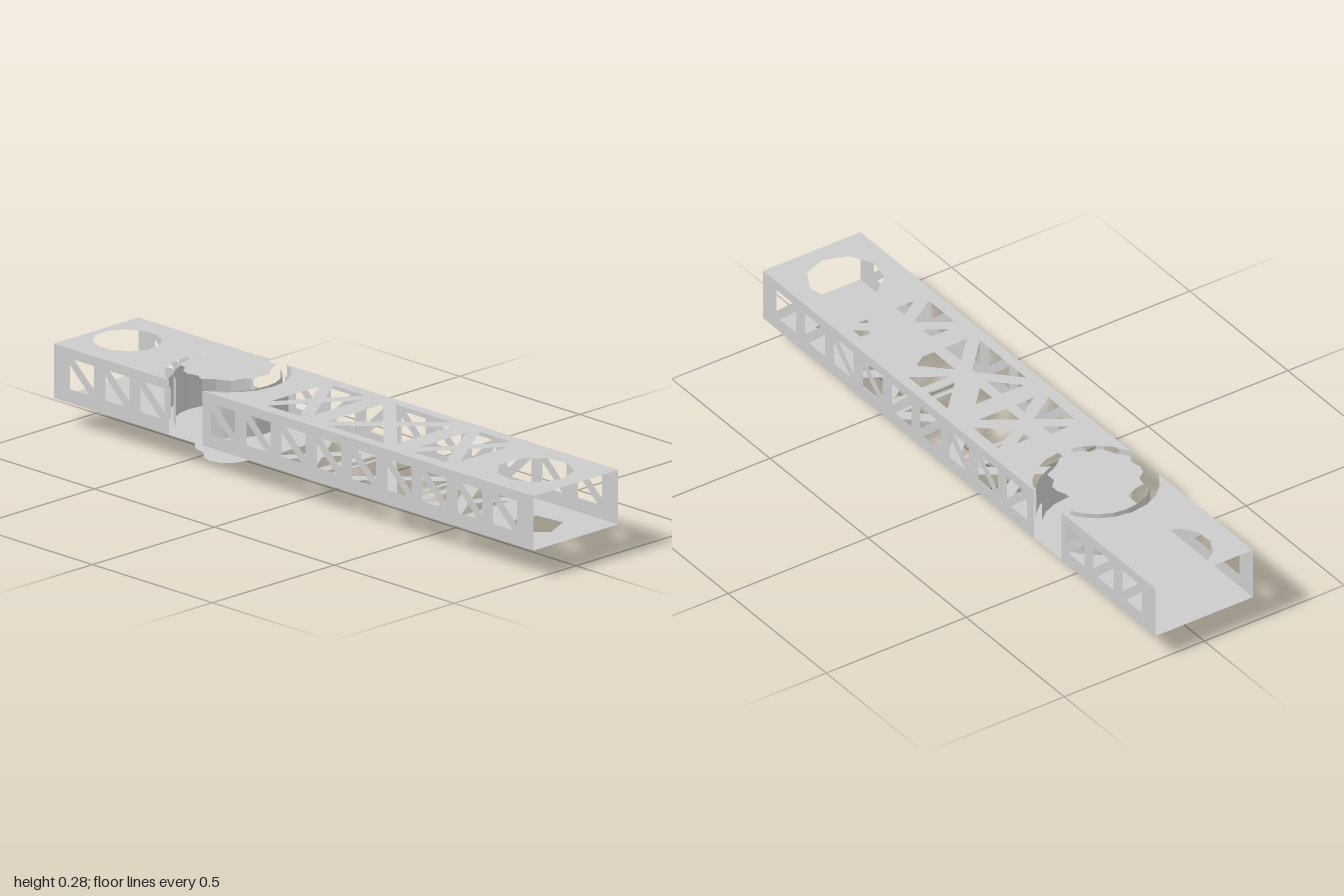
import * as THREE from 'three';

const BOTTOM = 0.087, TOP = 0.255, HALF = 0.174;
const PIVOT = -0.45, GAP = 0.07;

export function createModel() {
  const group = new THREE.Group();
  const material = new THREE.MeshStandardMaterial({
    color: 0xcccccc, side: THREE.DoubleSide, flatShading: true,
  });
  const add = (name, geometry, x = 0, y = 0, z = 0) => {
    const mesh = new THREE.Mesh(geometry, material);
    mesh.name = name;
    mesh.position.set(x, y, z);
    group.add(mesh);
  };
  const points = (list) => list.map(([x, y]) => new THREE.Vector2(x, y));
  const ngon = (cx, r, n, start = 0, sx = 1) => Array.from({ length: n }, (_, i) => {
    const a = start + (i / n) * Math.PI * 2;
    return [cx + r * sx * Math.cos(a), r * Math.sin(a)];
  });
  const sheet = (outline, holes) => {
    const shape = new THREE.Shape(points(outline));
    for (const h of holes) shape.holes.push(new THREE.Path(points(h)));
    return new THREE.ShapeGeometry(shape);
  };
  const flat = (outline, holes = []) => sheet(outline, holes).rotateX(Math.PI / 2);

  // Four triangular openings that leave an X of bars
  const crossHoles = (x0, x1, h) => {
    const c = (x0 + x1) / 2, w = (x1 - x0) / 2, b = 0.014;
    const k = b * (1 + w / h), m = b * (1 + h / w);
    const holes = [];
    for (const s of [-1, 1]) {
      holes.push([[c - w + k, s * h], [c + w - k, s * h], [c, s * m]]);
      holes.push([[c + s * w, m - h], [c + s * w, h - m], [c + s * k, 0]]);
    }
    return holes;
  };
  const truss = [
    ...crossHoles(-0.17, 0.01, 0.135),
    ...crossHoles(0.08, 0.37, 0.14),
    ...crossHoles(0.44, 0.62, 0.135),
  ];
  const slots = [[0.045, 0.068], [0.385, 0.408]].map(([a, b]) =>
    [[a, -0.11], [b, -0.11], [b, 0.11], [a, 0.11]]);

  // Side walls: square cells split by a diagonal bar, broken at the pivot
  const cells = Array.from({ length: 13 }, (_, i) => (i - 6) * 0.147);
  const wallHoles = (x0, x1, back) => {
    const holes = [];
    for (const c of cells) {
      if (c - 0.05 < x0 || c + 0.05 > x1) continue;
      const flip = back && [-0.147, 0, 0.441, 0.588].some((v) => Math.abs(v - c) < 0.01);
      const f = flip ? -1 : 1;
      holes.push([[c - 0.05 * f, 0.13], [c + 0.032 * f, 0.13], [c - 0.05 * f, 0.205]]);
      holes.push([[c + 0.05 * f, 0.225], [c - 0.032 * f, 0.225], [c + 0.05 * f, 0.15]]);
    }
    return holes;
  };
  for (const side of [1, -1]) {
    for (const [x0, x1] of [[-1, PIVOT - GAP], [PIVOT + GAP, 1]]) {
      add(side > 0 ? 'frontWall' : 'backWall',
        sheet([[x0, BOTTOM], [x1, BOTTOM], [x1, TOP], [x0, TOP]], wallHoles(x0, x1, side < 0)),
        0, 0, side * HALF);
    }
  }

  // Floor plate
  add('floor', flat([[-1, -HALF], [1, -HALF], [1, HALF], [-1, HALF]],
    [...truss, ...slots, ngon(0.83, 0.085, 5, 0.2)]), 0, BOTTOM, 0);

  // Top plates, each with a concave arc around the pivot
  const topPlate = (end, s) => {
    const outline = [[end, -HALF], [end, HALF]];
    const r = Math.hypot(GAP, HALF), limit = Math.atan2(HALF, GAP);
    for (let i = 0; i <= 8; i++) {
      const a = limit * (1 - i / 4);
      outline.push([PIVOT + s * r * Math.cos(a), r * Math.sin(a)]);
    }
    return outline;
  };
  add('topLong', flat(topPlate(1, 1), [...truss, ngon(0.83, 0.115, 9)]), 0, TOP, 0);
  add('topShort', flat(topPlate(-1, -1), [ngon(-0.87, 0.1, 12, 0.2, 1.06)]), 0, TOP, 0);

  // Curved pivot walls, open to front and back
  const arcWalls = (name, r, y0, y1) => {
    const start = Math.asin(GAP / r) + 0.01;
    for (const turn of [0, Math.PI]) {
      add(name, new THREE.CylinderGeometry(r, r, y1 - y0, 8, 1, true, start + turn,
        Math.PI - 2 * start), PIVOT, (y0 + y1) / 2, 0);
    }
  };
  arcWalls('pivotOuterWall', 0.178, 0.128, 0.225);
  arcWalls('pivotInnerWall', 0.16, 0.105, 0.25);

  // Ragged cap above the pivot
  const cap = Array.from({ length: 28 }, (_, i) => {
    const a = (i / 28) * Math.PI * 2;
    const r = 0.135 + 0.01 * Math.sin(i * 2.4);
    return [r * Math.cos(a), r * Math.sin(a)];
  });
  add('pivotCap', flat(cap), PIVOT, 0.275, 0);

  // Thin stepped discs under the pivot
  for (const [r, y] of [[0.145, 0.08], [0.1, 0.03], [0.075, 0]]) {
    add('pivotDisc', flat(ngon(0, r, 12)), PIVOT, y, 0);
  }
  return group;
}
